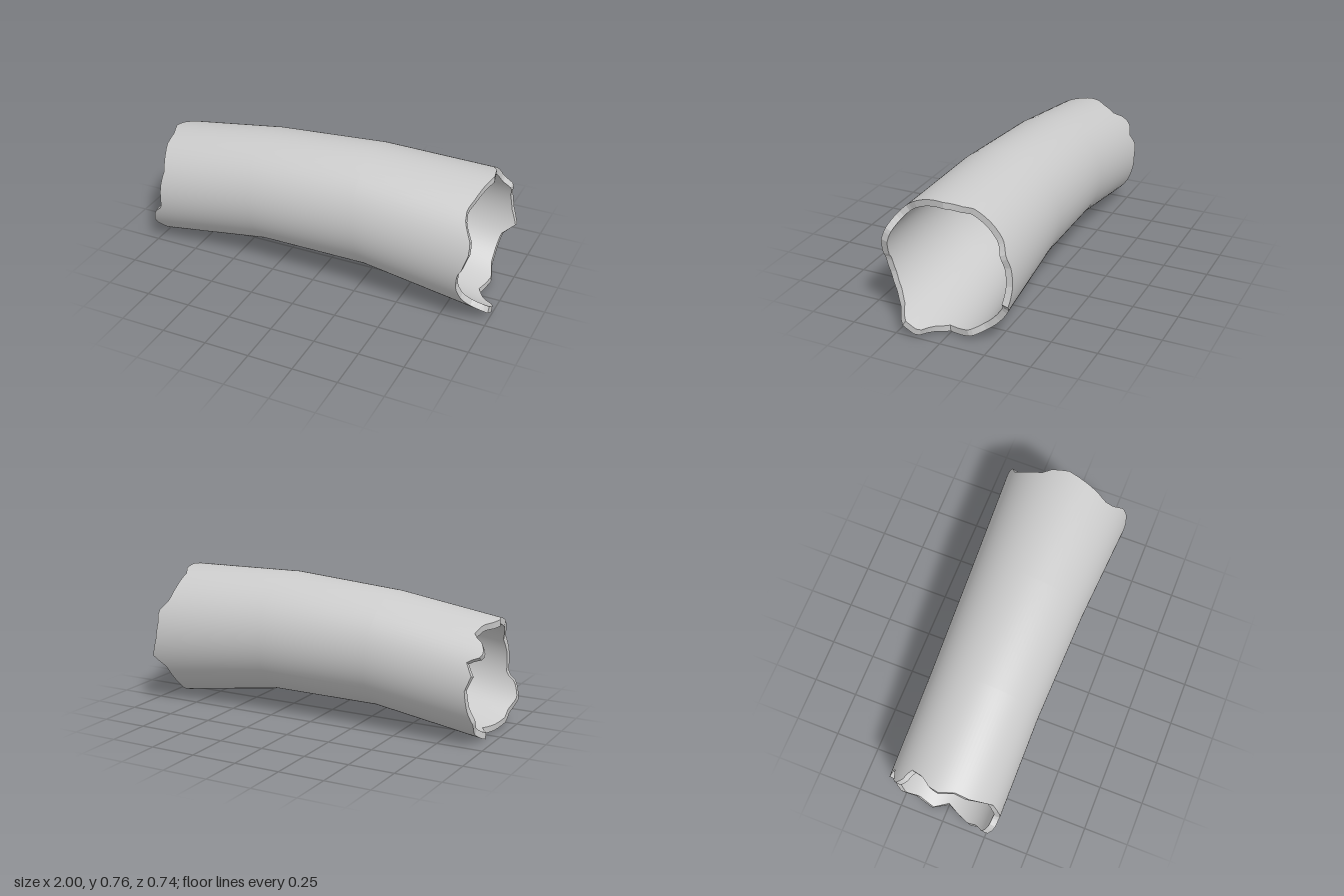
import * as THREE from 'three';

const SIDES = 96;
const WALL = 0.035;

// Cross-sections along the bend: centre, radius, and x lean of the top
const RINGS = [
  { x: -0.94, y: 0.316, r: 0.314, lean: -0.04 },
  { x: -0.355, y: 0.405, r: 0.315, lean: -0.025 },
  { x: 0.27, y: 0.43, r: 0.335, lean: -0.02 },
  { x: 0.885, y: 0.38, r: 0.37, lean: 0.015 },
];

// Broken edges: [angle in degrees, x]; 0 = front, 90 = top, 180 = back
const LEFT_EDGE = [
  [0, -0.92], [15, -0.92], [30, -0.91], [45, -0.93], [60, -0.95], [75, -0.95],
  [90, -0.98], [100, -0.97], [110, -0.93], [125, -0.91], [132, -0.97], [141, -0.99],
  [148, -0.97], [152, -0.91], [165, -0.95], [180, -0.92], [200, -0.93], [215, -0.95],
  [235, -0.93], [255, -0.95], [270, -0.9], [285, -0.94], [300, -0.97], [312, -0.97],
  [328, -1], [340, -0.98], [346, -0.96], [350, -0.92], [360, -0.92],
];
const RIGHT_EDGE = [
  [0, 0.89], [5, 0.9], [15, 0.92], [25, 0.92], [40, 0.87], [50, 0.86], [60, 0.88],
  [75, 0.9], [90, 0.92], [105, 0.9], [112, 0.87], [130, 0.87], [145, 0.88], [155, 0.93],
  [165, 0.92], [180, 0.93], [195, 0.96], [207, 0.89], [220, 0.88], [235, 0.88],
  [250, 0.91], [270, 0.88], [283, 0.93], [290, 1], [305, 1], [315, 0.92],
  [325, 0.88], [340, 0.86], [355, 0.87], [360, 0.89],
];

function edgeAt(edge, deg) {
  const k = Math.max(1, edge.findIndex((e) => e[0] >= deg));
  const [a, xa] = edge[k - 1];
  const [b, xb] = edge[k];
  return xa + ((xb - xa) * (deg - a)) / (b - a);
}

const angleOf = (j) => (j / SIDES) * Math.PI * 2;

function ringPoint(ring, j, inset) {
  const s = Math.sin(angleOf(j));
  const c = Math.cos(angleOf(j));
  const r = ring.r - inset;
  return new THREE.Vector3(ring.x + ring.lean * s, ring.y + r * s, r * c);
}

// Wall rows from left to right, with both ends cut along the broken edges
function wallRows(inset) {
  const rows = RINGS.map((ring) => Array.from({ length: SIDES }, (_, j) => ringPoint(ring, j, inset)));
  const cut = (end, next, edge) => end.forEach((p, j) => {
    const q = next[j];
    const x = edgeAt(edge, (j / SIDES) * 360);
    p.copy(q.clone().lerp(p, (x - q.x) / (p.x - q.x)));
  });
  cut(rows[0], rows[1], LEFT_EDGE);
  cut(rows[3], rows[2], RIGHT_EDGE);
  return rows;
}

// Skin a list of closed rows
function skin(rows, flat) {
  const index = [];
  for (let i = 0; i < rows.length - 1; i++) {
    for (let j = 0; j < SIDES; j++) {
      const n = (j + 1) % SIDES;
      const a = i * SIDES + j, b = a + SIDES;
      const c = i * SIDES + n, d = c + SIDES;
      index.push(a, b, c, b, d, c);
    }
  }
  let geometry = new THREE.BufferGeometry().setFromPoints(rows.flat());
  geometry.setIndex(index);
  if (flat) geometry = geometry.toNonIndexed();
  geometry.computeVertexNormals();
  return geometry;
}

export function createModel() {
  const group = new THREE.Group();
  group.name = 'brokenHollowLog';
  const material = new THREE.MeshStandardMaterial({ color: 0xcccccc });
  const add = (name, rows, flat) => {
    const mesh = new THREE.Mesh(skin(rows, flat), material);
    mesh.name = name;
    group.add(mesh);
  };

  const outer = wallRows(0);
  const inner = wallRows(WALL);
  add('outerWall', outer, false);
  add('innerWall', [...inner].reverse(), false);
  // Jagged rims joining the two walls
  add('leftRim', [inner[0], outer[0]], true);
  add('rightRim', [outer[3], inner[3]], true);
  return group;
}
